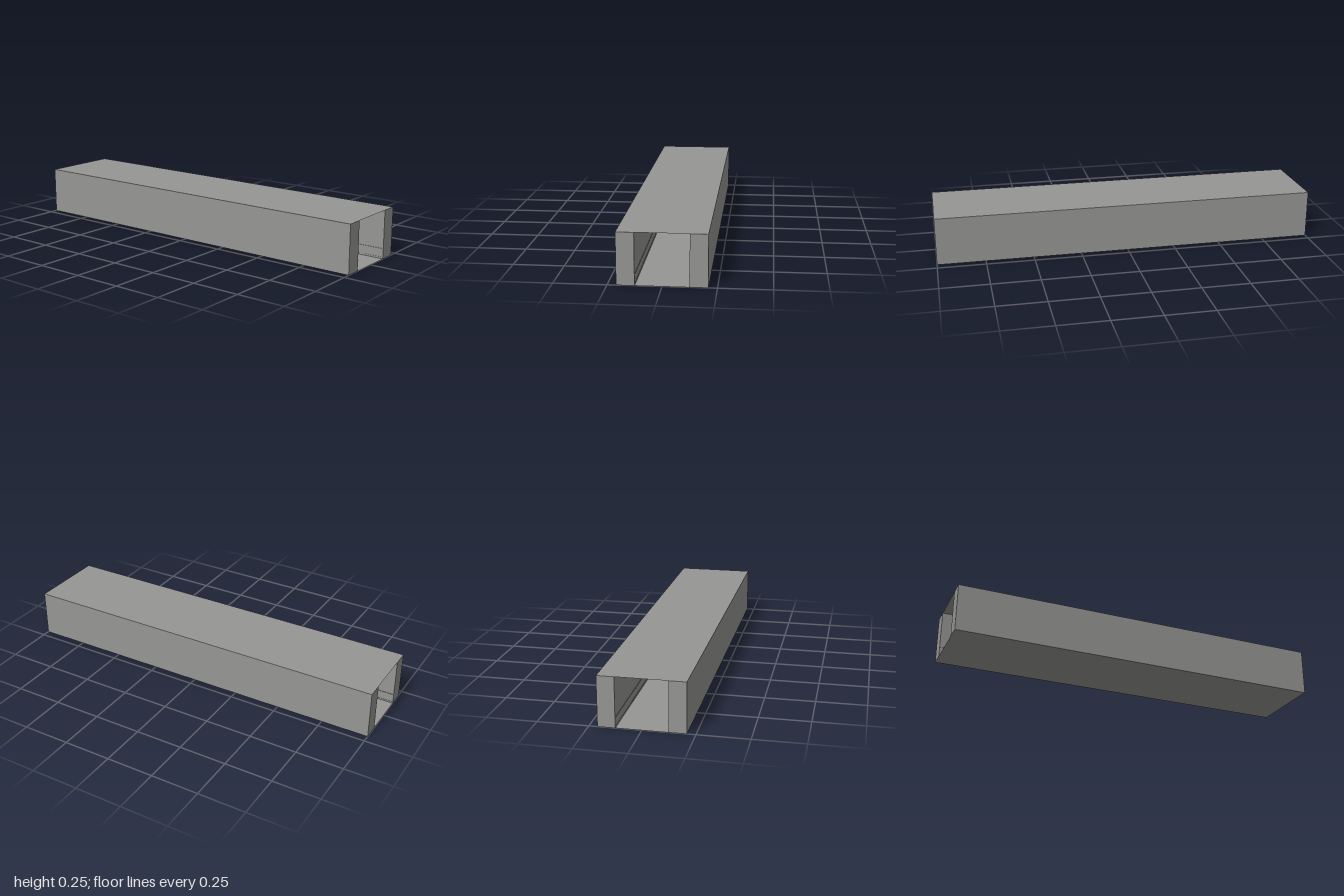
import * as THREE from 'three';

export function createModel() {
  const group = new THREE.Group();
  group.name = 'corridor';
  const grey = new THREE.MeshStandardMaterial({ color: 0x969694 });
  grey.name = 'concreteGrey';
  const greySheet = new THREE.MeshStandardMaterial({ color: 0x969694, side: THREE.DoubleSide });
  greySheet.name = 'concreteGreySheet';

  // Box given by its limits along each axis
  const box = (name, x0, x1, y0, y1, z0, z1, parent = group) => {
    const mesh = new THREE.Mesh(new THREE.BoxGeometry(x1 - x0, y1 - y0, z1 - z0), grey);
    mesh.position.set((x0 + x1) / 2, (y0 + y1) / 2, (z0 + z1) / 2);
    mesh.name = name;
    parent.add(mesh);
    return mesh;
  };

  // Thick side walls with skirting and a rail on the inner faces
  for (const [side, s] of [['left', 1], ['right', -1]]) {
    const strip = (name, a, b, y0, y1) =>
      box(side + name, Math.min(s * a, s * b), Math.max(s * a, s * b), y0, y1, -1, 1);
    strip('Wall', 0.125, 0.209, 0, 0.25);
    strip('Skirting', 0.1238, 0.1255, 0.0005, 0.009);
    strip('WallRail', 0.1225, 0.1255, 0.05, 0.0535);
  }

  // Floor and ceiling are single sheets between the walls
  for (const [name, y] of [['floor', 0], ['ceiling', 0.25]]) {
    const sheet = new THREE.Mesh(new THREE.PlaneGeometry(0.25, 2), greySheet);
    sheet.rotation.x = -Math.PI / 2;
    sheet.position.y = y;
    sheet.name = name;
    group.add(sheet);
  }

  // Sign plate hung from the ceiling on a thin rod
  const sign = new THREE.Group();
  sign.name = 'hangingSign';
  group.add(sign);
  box('signPlate', -0.029, 0.029, 0.223, 0.238, -0.885, -0.877, sign);
  const rod = new THREE.Mesh(new THREE.CylinderGeometry(0.001, 0.001, 0.012, 8), grey);
  rod.position.set(0, 0.244, -0.881);
  rod.name = 'signRod';
  sign.add(rod);

  // Framed double panel in the middle of the passage
  const panel = new THREE.Group();
  panel.name = 'framedPanel';
  group.add(panel);
  box('panelSill', -0.081, 0.081, 0.077, 0.081, -0.018, 0.018, panel);
  box('panelHead', -0.08, 0.08, 0.201, 0.205, -0.015, 0.015, panel);
  for (const s of [-1, 1]) {
    box('panelJamb', s * 0.0775 - 0.0025, s * 0.0775 + 0.0025, 0.081, 0.201, -0.015, 0.015, panel);
    box('panelLeaf', s * 0.0375 - 0.0375, s * 0.0375 + 0.0375, 0.081, 0.201,
      s * 0.003 - 0.004, s * 0.003 + 0.004, panel);
  }

  return group;
}
